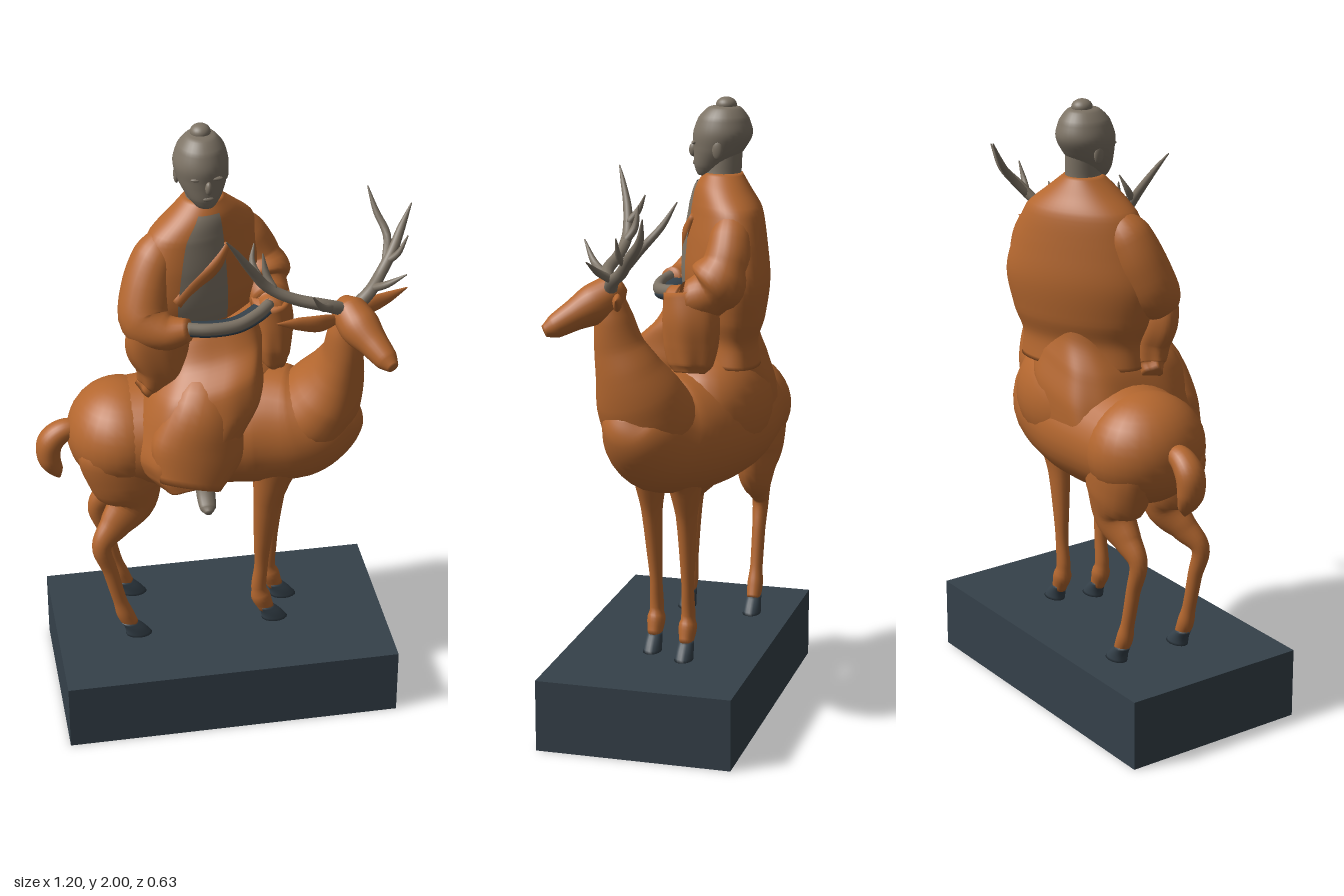
import * as THREE from 'three';

const mat = (name, color, side = THREE.FrontSide) => {
  const m = new THREE.MeshStandardMaterial({ color, side });
  m.name = name;
  return m;
};
const pow = (v, p) => Math.sign(v) * Math.abs(v) ** p;

// Smooth skin of (super)elliptical rings; rows are [x, y, z, radiusA, radiusB]
function loft(rows, { n = 24, steps = 6, arc = [0, Math.PI * 2], span = [0, 1], grow = 0, ripple = 0, waves = 9, square = 1, dir } = {}) {
  const path = new THREE.CatmullRomCurve3(rows.map(r => new THREE.Vector3(r[0], r[1], r[2])));
  const size = new THREE.CatmullRomCurve3(rows.map(r => new THREE.Vector3(r[3], r[4] ?? r[3], 0)));
  const full = arc[1] - arc[0] > 6.28, rings = (rows.length - 1) * steps;
  const pos = [], idx = [], Z = new THREE.Vector3(0, 0, 1), cols = full ? n : n + 1;
  for (let i = 0; i <= rings; i++) {
    const t = span[0] + (span[1] - span[0]) * i / rings;
    const c = path.getPoint(t), r = size.getPoint(t);
    const T = dir ? new THREE.Vector3(...dir).normalize() : path.getTangent(t);
    const S = Z.clone().cross(T).normalize(), B = T.clone().cross(S);
    for (let j = 0; j < cols; j++) {
      const th = arc[0] + (arc[1] - arc[0]) * j / n;
      const w = 1 + ripple * t * Math.sin(waves * th + 2 * t);
      const p = c.clone()
        .addScaledVector(S, (Math.max(r.x, 0.002) + grow) * w * pow(Math.cos(th), square))
        .addScaledVector(B, (Math.max(r.y, 0.002) + grow) * w * pow(Math.sin(th), square));
      pos.push(p.x, p.y, p.z);
    }
  }
  for (let i = 0; i < rings; i++) for (let j = 0; j < n; j++) {
    const k = (j + 1) % cols, a = i * cols, b = a + cols;
    idx.push(a + j, a + k, b + j, a + k, b + k, b + j);
  }
  if (full) {
    const s = pos.length / 3, a = path.getPoint(0), b = path.getPoint(1), last = rings * cols;
    pos.push(a.x, a.y, a.z, b.x, b.y, b.z);
    for (let j = 0; j < n; j++) {
      const k = (j + 1) % n;
      idx.push(k, j, s, last + j, last + k, s + 1);
    }
  }
  const g = new THREE.BufferGeometry();
  g.setAttribute('position', new THREE.Float32BufferAttribute(pos, 3));
  g.setIndex(idx);
  g.computeVertexNormals();
  return g;
}

export function createModel() {
  const model = new THREE.Group();
  const copper = mat('copper', 0xb4672f);
  const stone = mat('stone grey', 0x7d7365, THREE.DoubleSide);
  const slate = mat('dark slate', 0x35414a);

  const add = (name, geo, m, parent = model) => {
    const mesh = new THREE.Mesh(geo, m);
    mesh.name = name;
    parent.add(mesh);
    return mesh;
  };
  const skin = (name, m, rows, opts, parent) => add(name, loft(rows, opts), m, parent);
  const ball = (name, m, [x, y, z], [a, b, c], parent) => {
    const s = add(name, new THREE.SphereGeometry(1, 28, 20), m, parent);
    s.position.set(x, y, z);
    s.scale.set(a, b, c);
  };
  const group = name => {
    const g = new THREE.Group();
    g.name = name;
    model.add(g);
    return g;
  };

  // Plinth
  add('plinth', new THREE.BoxGeometry(1.1, 0.232, 0.63), slate).position.set(-0.02, 0.116, 0);

  // Deer trunk, neck, head and tail
  const deer = group('deer');
  skin('trunk', copper, [
    [-0.49, 0.95, -0.1, 0.04], [-0.45, 0.95, -0.1, 0.12], [-0.36, 0.95, -0.1, 0.165, 0.18],
    [-0.22, 0.95, -0.095, 0.18, 0.2], [-0.05, 0.955, -0.09, 0.19, 0.21], [0.12, 0.965, -0.055, 0.195, 0.205],
    [0.25, 0.985, 0.0, 0.185, 0.17], [0.33, 1.025, 0.03, 0.145, 0.135], [0.38, 1.065, 0.05, 0.095, 0.09], [0.405, 1.09, 0.055, 0.03],
  ], { n: 32 }, deer);
  ball('rump', copper, [-0.325, 0.95, -0.1], [0.175, 0.175, 0.195], deer);
  skin('neck', copper, [
    [0.22, 0.93, -0.01, 0.1, 0.1], [0.28, 1.03, 0.01, 0.14, 0.152], [0.325, 1.12, 0.035, 0.118, 0.14], [0.35, 1.2, 0.06, 0.09, 0.108],
    [0.362, 1.28, 0.085, 0.066, 0.08], [0.368, 1.37, 0.1, 0.058, 0.06], [0.375, 1.44, 0.11, 0.04],
  ], { n: 32 }, deer);
  skin('head', copper, [
    [0.36, 1.47, 0.07, 0.02], [0.37, 1.45, 0.1, 0.055], [0.395, 1.415, 0.15, 0.064, 0.062],
    [0.43, 1.38, 0.21, 0.047], [0.46, 1.35, 0.26, 0.036], [0.475, 1.337, 0.288, 0.018],
  ], {}, deer);
  skin('tail', copper, [
    [-0.45, 0.97, -0.1, 0.03], [-0.51, 0.97, -0.1, 0.037, 0.04], [-0.555, 0.93, -0.1, 0.042, 0.047],
    [-0.56, 0.87, -0.1, 0.038, 0.045], [-0.54, 0.82, -0.1, 0.024, 0.03], [-0.53, 0.79, -0.1, 0.005],
  ], {}, deer);
  for (const e of [
    [[0.345, 1.425, 0.11, 0.012], [0.27, 1.435, 0.15, 0.03, 0.014], [0.2, 1.45, 0.165, 0.022, 0.012], [0.13, 1.465, 0.18, 0.002]],
    [[0.41, 1.43, 0.08, 0.012], [0.46, 1.435, 0.06, 0.028, 0.014], [0.51, 1.445, 0.045, 0.02, 0.012], [0.575, 1.465, 0.03, 0.002]],
  ]) skin('ear', copper, e, { n: 12 }, deer);

  // Antlers: main beam followed by tines
  const horn = (...pts) => skin('antler branch', stone, pts, { n: 10, steps: 5 }, deer);
  horn([0.355, 1.46, 0.12, 0.022], [0.29, 1.495, 0.145, 0.02], [0.19, 1.525, 0.14, 0.018], [0.11, 1.57, 0.135, 0.017], [0.05, 1.65, 0.15, 0.014], [0.0, 1.73, 0.18, 0.008], [-0.03, 1.775, 0.2, 0.002]);
  horn([0.31, 1.485, 0.14, 0.014], [0.27, 1.515, 0.19, 0.012], [0.23, 1.58, 0.235, 0.002]);
  horn([0.13, 1.56, 0.135, 0.013], [0.11, 1.6, 0.11, 0.012], [0.1, 1.67, 0.1, 0.002]);
  horn([0.08, 1.61, 0.14, 0.013], [0.065, 1.65, 0.11, 0.01], [0.075, 1.7, 0.085, 0.002]);
  horn([0.4, 1.46, 0.1, 0.022], [0.445, 1.495, 0.08, 0.02], [0.485, 1.53, 0.04, 0.018], [0.53, 1.585, 0, 0.017], [0.565, 1.64, -0.04, 0.013], [0.6, 1.715, -0.06, 0.002]);
  horn([0.505, 1.55, 0.02, 0.014], [0.52, 1.62, -0.04, 0.013], [0.495, 1.68, -0.09, 0.01], [0.475, 1.75, -0.13, 0.002]);
  horn([0.45, 1.5, 0.075, 0.014], [0.49, 1.53, 0.11, 0.011], [0.545, 1.57, 0.13, 0.002]);
  horn([0.51, 1.56, 0.02, 0.012], [0.54, 1.59, 0.03, 0.01], [0.57, 1.65, 0.03, 0.002]);

  // Legs with hooves
  const hoof = (x, z) => skin('hoof', slate, [
    [x - 0.03, 0.288, z, 0.026, 0.024], [x - 0.008, 0.26, z, 0.034, 0.028], [x + 0.006, 0.231, z, 0.044, 0.03],
  ], { n: 16, steps: 3, dir: [0, -1, 0] }, deer);
  for (const [dx, top, z] of [[0, -0.01, 0.05], [0.015, -0.19, -0.18]]) {
    skin('hind leg', copper, [
      [-0.33, 1.02, top, 0.06, 0.04], [-0.33, 0.92, top, 0.145, 0.09], [-0.32, 0.82, top, 0.125, 0.085], [-0.31, 0.73, top, 0.085, 0.06],
      [-0.365, 0.665, (top + z) / 2, 0.055, 0.04], [-0.415, 0.605, z, 0.033, 0.028], [-0.39, 0.5, z, 0.025, 0.022],
      [-0.362, 0.38, z, 0.023, 0.021], [-0.345, 0.32, z, 0.028, 0.026], [-0.325, 0.275, z, 0.025, 0.023],
    ].map(r => [r[0] + dx, ...r.slice(1)]), { n: 20 }, deer);
    hoof(-0.305 + dx, z);
  }
  for (const [dx, top, z] of [[0, 0.05, 0.04], [0.053, -0.08, -0.08]]) {
    skin('front leg', copper, [
      [0.17, 0.98, top, 0.04, 0.03], [0.165, 0.9, top, 0.085, 0.07], [0.146, 0.8, top, 0.062, 0.052], [0.13, 0.7, top, 0.043, 0.034],
      [0.12, 0.56, (top + z) / 2, 0.03, 0.025], [0.116, 0.45, z, 0.023, 0.02], [0.11, 0.35, z, 0.026, 0.023], [0.135, 0.275, z, 0.026, 0.023],
    ].map(r => [r[0] + dx, ...r.slice(1)]), { n: 20 }, deer);
    hoof(0.158 + dx, z);
  }

  // Rider robe: torso turned towards the deer's head
  const rider = group('rider');
  const torso = new THREE.Group();
  torso.name = 'torso';
  torso.position.set(-0.05, 0, -0.145);
  torso.rotation.y = 0.47;
  rider.add(torso);
  const body = [
    [0, 1.765, 0.01, 0.06, 0.06], [0, 1.72, 0.01, 0.115, 0.085], [0, 1.66, 0, 0.185, 0.108], [0, 1.56, 0, 0.23, 0.122],
    [0, 1.44, 0, 0.26, 0.13], [0, 1.32, 0, 0.235, 0.115], [0, 1.24, 0, 0.205, 0.095], [0, 1.17, 0, 0.21, 0.105],
  ];
  skin('robe torso', copper, body, { n: 48, dir: [0, -1, 0] }, torso);
  skin('chest', stone, body, { n: 12, arc: [1.55, 2.25], span: [0.1, 0.64], grow: 0.005, dir: [0, -1, 0] }, torso);
  skin('lapel', copper, [[-0.16, 1.465, 0.095, 0.025, 0.014], [-0.1, 1.52, 0.108, 0.028, 0.014], [-0.03, 1.575, 0.12, 0.024, 0.014], [0.02, 1.63, 0.11, 0.012]], { n: 14 }, torso);

  // Skirt draped over the deer, hem rising towards the deer's neck
  skin('robe skirt', copper, [
    [-0.03, 1.36, -0.11, 0.13, 0.13], [-0.03, 1.28, -0.09, 0.16, 0.155], [-0.06, 1.2, -0.06, 0.185, 0.205], [-0.08, 1.1, -0.055, 0.205, 0.235],
    [-0.12, 1.0, -0.045, 0.185, 0.245], [-0.12, 0.94, -0.04, 0.165, 0.245], [-0.125, 0.895, -0.035, 0.125, 0.24],
  ], { n: 96, ripple: 0.02, square: 0.68, dir: [0.25, -1, 0] }, rider);
  ball('far thigh', copper, [0.0, 1.03, -0.12], [0.24, 0.2, 0.185], rider);
  skin('knee', copper, [[-0.05, 1.2, -0.02, 0.08], [-0.08, 1.12, 0.08, 0.12, 0.1], [-0.11, 1.0, 0.125, 0.15, 0.085], [-0.14, 0.89, 0.175, 0.1, 0.05]], {}, rider);
  skin('foot', stone, [[-0.095, 0.92, 0.16, 0.03], [-0.095, 0.87, 0.2, 0.03, 0.025], [-0.095, 0.845, 0.235, 0.026, 0.02], [-0.095, 0.838, 0.255, 0.01]], { n: 14 }, rider);

  // Sleeves and hanging cuffs
  skin('right sleeve', copper, [
    [-0.15, 1.66, -0.11, 0.04], [-0.2, 1.59, -0.08, 0.075], [-0.235, 1.5, -0.05, 0.082], [-0.245, 1.41, -0.01, 0.085, 0.08],
    [-0.19, 1.385, 0.035, 0.06], [-0.12, 1.4, 0.06, 0.035],
  ], {}, rider);
  skin('left sleeve', copper, [
    [0.05, 1.66, -0.19, 0.04], [0.1, 1.58, -0.2, 0.07], [0.135, 1.5, -0.195, 0.078], [0.15, 1.42, -0.15, 0.078],
    [0.165, 1.39, -0.07, 0.06], [0.15, 1.4, -0.015, 0.035],
  ], {}, rider);
  skin('right cuff', copper, [
    [-0.21, 1.42, 0.02, 0.09, 0.05], [-0.215, 1.33, 0.01, 0.1, 0.06], [-0.2, 1.24, 0, 0.08, 0.06], [-0.205, 1.17, -0.01, 0.075, 0.05], [-0.235, 1.135, -0.02, 0.06, 0.035],
  ], { n: 48, ripple: 0.08, waves: 6 }, rider);
  skin('left cuff', copper, [
    [0.16, 1.42, -0.08, 0.06, 0.08], [0.17, 1.33, -0.09, 0.065, 0.09], [0.17, 1.25, -0.09, 0.06, 0.085], [0.175, 1.19, -0.09, 0.05, 0.07], [0.18, 1.165, -0.09, 0.035, 0.05],
  ], { n: 48, ripple: 0.08, waves: 6 }, rider);

  // Joined forearms over a dark sleeve lining
  const arms = (name, m, dy, dz, a, b) => skin(name, m, [
    [-0.13, 1.4 + dy, 0.06 + dz, a, b], [-0.06, 1.395 + dy, 0.07 + dz, a, b], [0.03, 1.392 + dy, 0.055 + dz, a, b],
    [0.1, 1.4 + dy, 0.015 + dz, a, b], [0.15, 1.41 + dy, -0.03 + dz, a, b],
  ], { n: 14 }, rider);
  arms('forearms', stone, 0.005, 0, 0.02, 0.018);
  arms('sleeve lining', slate, -0.011, -0.03, 0.018, 0.042);

  // Rider head with topknot
  const head = group('rider head');
  skin('throat', stone, [[-0.045, 1.72, -0.13, 0.065], [-0.045, 1.77, -0.135, 0.054, 0.058], [-0.05, 1.85, -0.14, 0.055]], {}, head);
  skin('skull', stone, [
    [-0.05, 1.978, -0.14, 0.004], [-0.05, 1.968, -0.138, 0.045, 0.05], [-0.051, 1.935, -0.135, 0.073, 0.08], [-0.052, 1.885, -0.132, 0.086, 0.094],
    [-0.05, 1.835, -0.12, 0.077, 0.08], [-0.047, 1.785, -0.1, 0.054, 0.058], [-0.045, 1.755, -0.09, 0.03, 0.036], [-0.045, 1.748, -0.088, 0.004],
  ], { n: 32, dir: [0, -1, 0] }, head);
  ball('nose', stone, [-0.042, 1.832, -0.039], [0.011, 0.022, 0.014], head);
  ball('mouth', stone, [-0.043, 1.793, -0.046], [0.018, 0.008, 0.008], head);
  for (const s of [-1, 1]) {
    ball('ear', stone, [-0.05 + s * 0.077, 1.842, -0.135], [0.009, 0.03, 0.017], head);
    ball('brow', stone, [-0.046 + s * 0.028, 1.859, -0.05], [0.022, 0.007, 0.009], head);
  }
  ball('topknot', stone, [-0.05, 1.975, -0.143], [0.032, 0.025, 0.033], head);
  return model;
}
